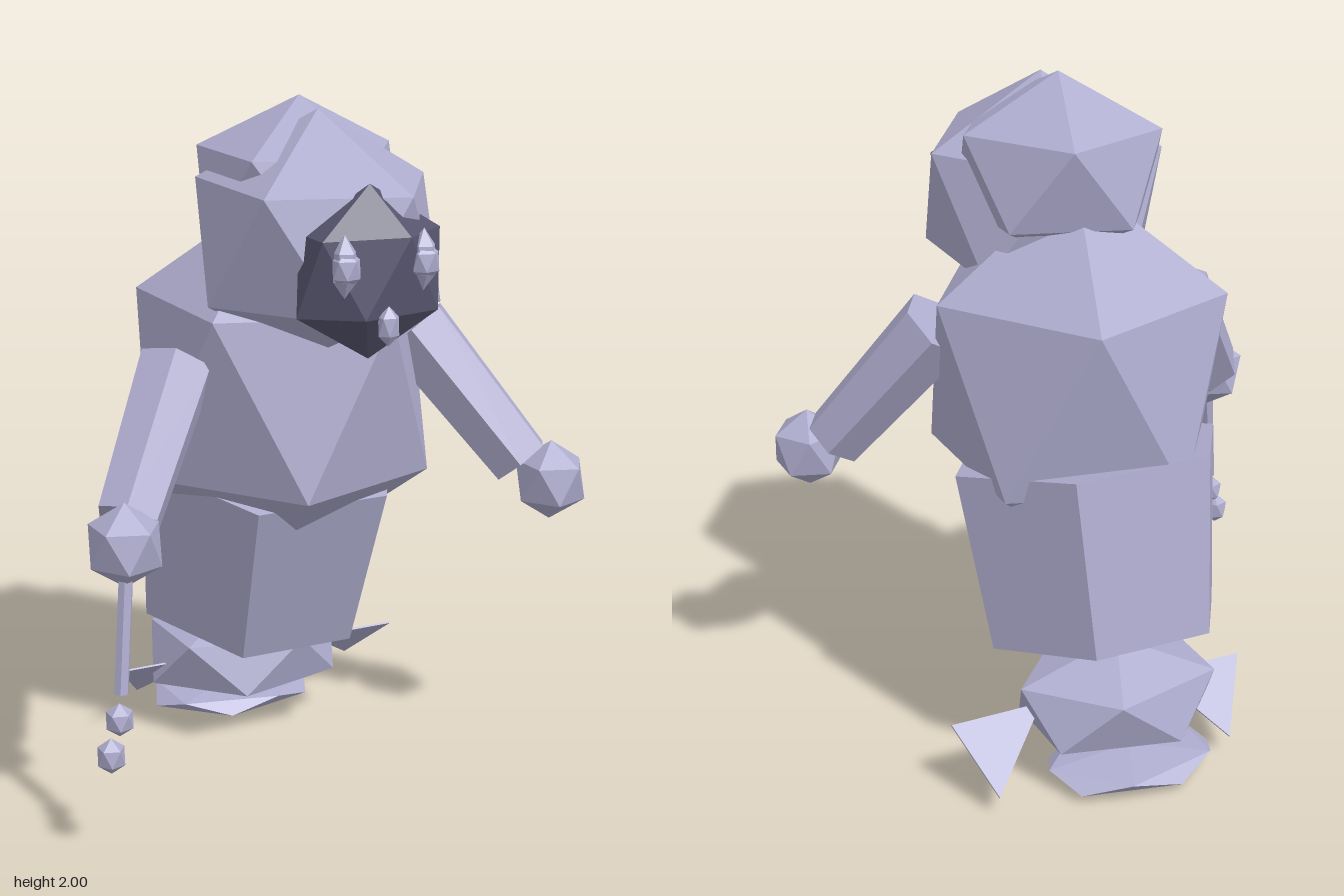
import * as THREE from 'three';
import { ConvexGeometry } from 'three/addons/geometries/ConvexGeometry.js';

const V = (x, y, z) => new THREE.Vector3(x, y, z);

// Upright icosahedron: two poles and two staggered rings of five
function icoGeometry(rx, ry, rz) {
  const pts = [V(0, ry, 0), V(0, -ry, 0)];
  const h = Math.sqrt(0.2), r = 2 * h;
  for (let i = 0; i < 10; i++) {
    const a = (i * Math.PI) / 5;
    pts.push(V(r * rx * Math.cos(a), (i % 2 ? -h : h) * ry, r * rz * Math.sin(a)));
  }
  return new ConvexGeometry(pts);
}

export function createModel() {
  const model = new THREE.Group();
  model.name = 'figure';
  const pale = new THREE.MeshStandardMaterial({ color: 0xafadcf, flatShading: true });
  pale.name = 'pale lavender';
  const dark = new THREE.MeshStandardMaterial({ color: 0x57556e, flatShading: true });
  dark.name = 'dark slate';

  const add = (name, geometry, material = pale) => {
    const mesh = new THREE.Mesh(geometry, material);
    mesh.name = name;
    model.add(mesh);
    return mesh;
  };
  const ico = (name, pos, radii, material) =>
    add(name, icoGeometry(...radii), material).position.set(...pos);

  // Six-sided tapered prism between two centres
  const prism = (name, top, bottom, rTop, rBottom) => {
    const a = V(...top), b = V(...bottom), axis = a.clone().sub(b);
    const mesh = add(name, new THREE.CylinderGeometry(rTop, rBottom, axis.length(), 6, 1, false, Math.PI / 6));
    mesh.position.copy(a).add(b).multiplyScalar(0.5);
    mesh.quaternion.setFromUnitVectors(V(0, 1, 0), axis.normalize());
  };

  // Body
  ico('torso', [0.01, 1.155, -0.06], [0.478, 0.57, 0.506]);
  prism('skirt', [0.01, 0.92, -0.14], [0.01, 0.41, -0.26], 0.417, 0.36);
  ico('tailBase', [0.01, 0.223, -0.335], [0.345, 0.173, 0.272]);
  ico('tailTip', [0.01, 0.045, -0.423], [0.292, 0.042, 0.214]);

  // Head
  ico('head', [0.01, 1.61, 0.165], [0.38, 0.365, 0.415]);
  ico('hood', [0.01, 1.73, 0.05], [0.325, 0.27, 0.341]);
  ico('face', [0.01, 1.57, 0.465], [0.245, 0.24, 0.13], dark);
  for (const side of [-1, 1]) {
    const x = 0.01 + side * 0.12;
    ico('eye', [x, 1.61, 0.55], [0.038, 0.086, 0.038]);
    ico('pupil', [x, 1.605, 0.56], [0.045, 0.055, 0.035]);
  }
  ico('nose', [0.01, 1.443, 0.577], [0.034, 0.055, 0.028]);

  // Arms and hands
  prism('leftArm', [0.38, 1.3, 0.07], [0.63, 0.91, 0.285], 0.115, 0.095);
  prism('rightArm', [-0.385, 1.265, 0.07], [-0.63, 0.91, 0.285], 0.115, 0.095);
  ico('leftHand', [0.69, 0.862, 0.355], [0.112, 0.12, 0.12]);
  ico('rightHand', [-0.67, 0.865, 0.355], [0.112, 0.12, 0.12]);

  // Hanging rod with two beads
  prism('rod', [-0.675, 0.79, 0.37], [-0.71, 0.46, 0.405], 0.021, 0.021);
  ico('upperBead', [-0.725, 0.395, 0.425], [0.043, 0.048, 0.043]);
  ico('lowerBead', [-0.762, 0.306, 0.45], [0.043, 0.052, 0.043]);

  // Thin triangular side fins: outer corner, tip, inner corner
  const fin = (name, outer, tip, inner) => {
    const corners = [V(outer, 0.215, -0.3), V(tip, 0.062, -0.49), V(inner, 0.215, -0.3)];
    const thickness = V(0, 0.004, -0.004);
    add(name, new ConvexGeometry([...corners, ...corners.map((p) => p.clone().add(thickness))]));
  };
  fin('leftFin', 0.525, 0.46, 0.24);
  fin('rightFin', -0.42, -0.29, -0.135);

  return model;
}
